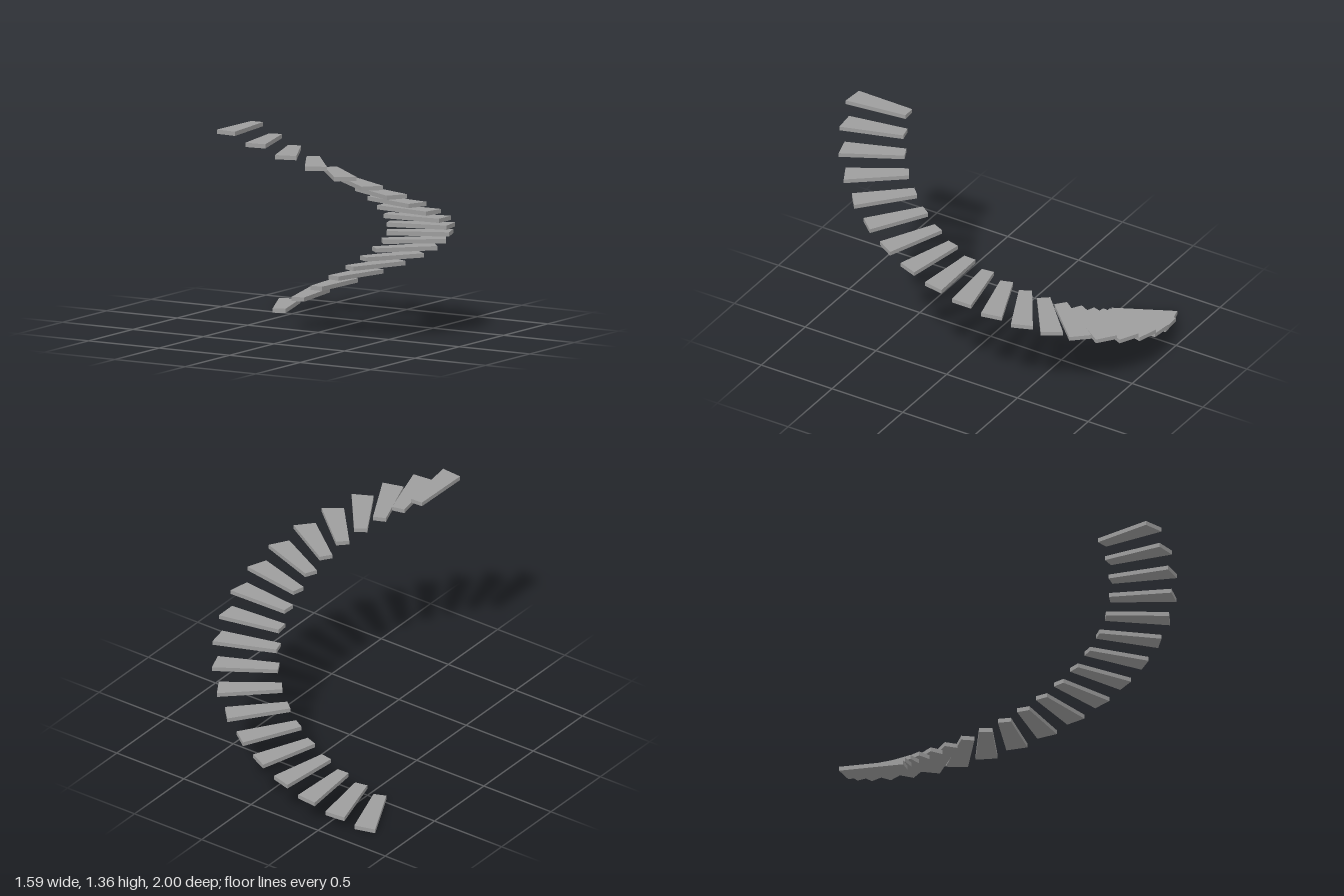
import * as THREE from 'three';

const STEPS = 20;
const THICKNESS = 0.026;
const RISE = 0.0704;
const START = THREE.MathUtils.degToRad(-120.65);
const TURN = THREE.MathUtils.degToRad(10.5);

// One tapered, slightly skewed tread: x runs outward, z along the turn
function treadGeometry() {
  const corners = [[1.016, -0.065], [0.98, 0.064], [0.609, -0.015], [0.621, -0.094]];
  const shape = new THREE.Shape(corners.map(([r, t]) => new THREE.Vector2(r, -t)));
  const geometry = new THREE.ExtrudeGeometry(shape, { depth: THICKNESS, bevelEnabled: false });
  return geometry.rotateX(-Math.PI / 2);
}

export function createModel() {
  const model = new THREE.Group();
  model.name = 'spiralStairs';

  const material = new THREE.MeshStandardMaterial({ color: 0x9e9e9e, flatShading: true });
  const geometry = treadGeometry();

  // Treads climb around the stair axis
  const treads = new THREE.Group();
  treads.name = 'treads';
  treads.position.set(-0.222, 0, 0.016);
  for (let i = 0; i < STEPS; i++) {
    const tread = new THREE.Mesh(geometry, material);
    tread.name = `tread${i + 1}`;
    tread.position.y = i * RISE;
    tread.rotation.y = -(START + i * TURN);
    treads.add(tread);
  }
  model.add(treads);
  return model;
}
